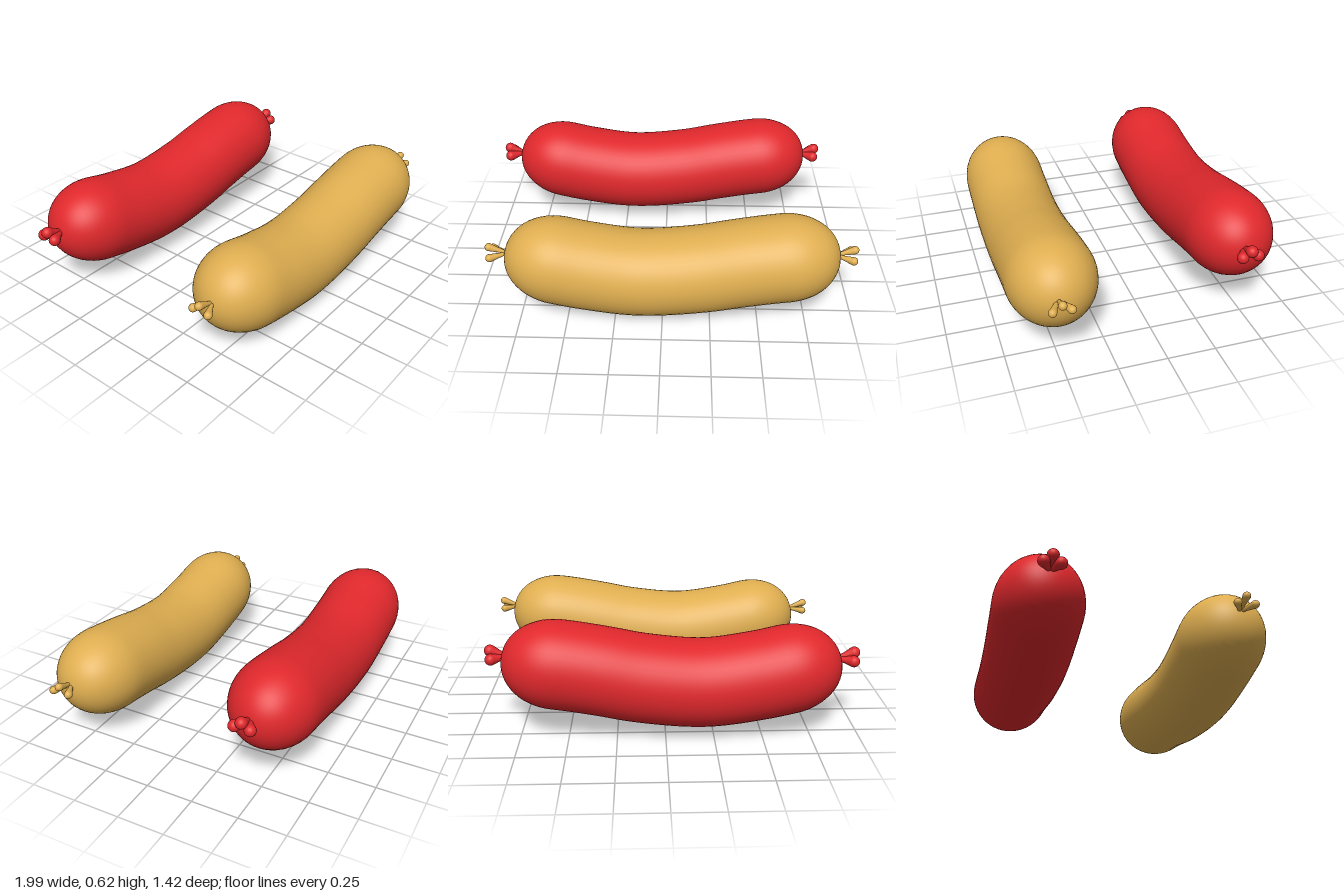
import * as THREE from 'three';
import { mergeVertices } from 'three/addons/utils/BufferGeometryUtils.js';

const RADIUS = 0.23;
const CAP = 0.28;

// Curved centre line of a sausage, from its right end to its left end
const spine = new THREE.CatmullRomCurve3([
  [-0.82, 0.34], [-0.6, 0.309], [-0.4, 0.266], [-0.12, 0.23], [0.2, 0.258],
  [0.4, 0.298], [0.6, 0.333], [0.8, 0.355], [0.91, 0.365],
].map(([x, y]) => new THREE.Vector3(x, y, 0)));

// Round-ended straight lathe, bent along the centre line
function bodyGeometry() {
  const length = spine.getLength();
  const capSteps = 14, midSteps = 28;
  const cap = [];
  for (let i = 0; i <= capSteps; i++) {
    const a = (i / capSteps) * Math.PI / 2;
    cap.push([RADIUS * Math.pow(Math.sin(a), 0.95), CAP * (1 - Math.cos(a))]);
  }
  const profile = cap.map(([r, d]) => new THREE.Vector2(r, d));
  for (let i = 1; i < midSteps; i++) {
    profile.push(new THREE.Vector2(RADIUS, CAP + (length - 2 * CAP) * i / midSteps));
  }
  cap.reverse().forEach(([r, d]) => profile.push(new THREE.Vector2(r, length - d)));

  let geo = new THREE.LatheGeometry(profile, 48);
  const pos = geo.attributes.position;
  for (let i = 0; i < pos.count; i++) {
    const u = THREE.MathUtils.clamp(pos.getY(i) / length, 0, 1);
    const c = spine.getPointAt(u), t = spine.getTangentAt(u);
    const h = -pos.getX(i);
    pos.setXYZ(i, c.x - t.y * h, c.y + t.x * h, pos.getZ(i));
  }
  geo.deleteAttribute('uv');
  geo.deleteAttribute('normal');
  geo = mergeVertices(geo, 1e-5);
  geo.computeVertexNormals();
  return geo;
}

// Teardrop lobe: thin at the root, round at the tip
function lobe(root, tip, r, material) {
  const length = root.distanceTo(tip);
  const pts = [new THREE.Vector2(r * 0.35, 0), new THREE.Vector2(r * 0.6, (length - r) * 0.5)];
  for (let i = 0; i <= 8; i++) {
    const a = -0.3 + (i / 8) * (Math.PI / 2 + 0.3);
    pts.push(new THREE.Vector2(Math.max(0, r * Math.cos(a)), length - r + r * Math.sin(a)));
  }
  const mesh = new THREE.Mesh(new THREE.LatheGeometry(pts, 16), material);
  mesh.position.copy(root);
  mesh.quaternion.setFromUnitVectors(new THREE.Vector3(0, 1, 0), tip.clone().sub(root).normalize());
  mesh.name = 'casingLobe';
  return mesh;
}

// Three lobes fanned out at one end of the casing
function knot(name, side, x, y, z, r, material) {
  const group = new THREE.Group();
  group.name = name;
  const root = new THREE.Vector3(x, y, z);
  for (const [dx, dy, dz] of [[0.105, -0.002, 0.055], [0.115, 0.042, 0], [0.105, -0.002, -0.055]]) {
    group.add(lobe(root, new THREE.Vector3(x + side * dx, y + dy, z + dz), r, material));
  }
  return group;
}

function sausage(name, color, lobeRadius) {
  const group = new THREE.Group();
  group.name = name;
  const material = new THREE.MeshStandardMaterial({ color });
  const body = new THREE.Mesh(bodyGeometry(), material);
  body.name = 'sausageBody';
  group.add(body,
    knot('leftKnot', 1, 0.88, 0.375, 0.023, lobeRadius, material),
    knot('rightKnot', -1, -0.80, 0.348, 0.013, lobeRadius, material));
  return group;
}

export function createModel() {
  const model = new THREE.Group();
  model.name = 'sausages';
  const front = sausage('frontSausage', 0xdfae50, 0.021);
  front.position.set(0, 0, 0.482);
  const back = sausage('backSausage', 0xe0282c, 0.03);
  back.position.set(-0.08, 0.047, -0.482);
  model.add(front, back);
  return model;
}
